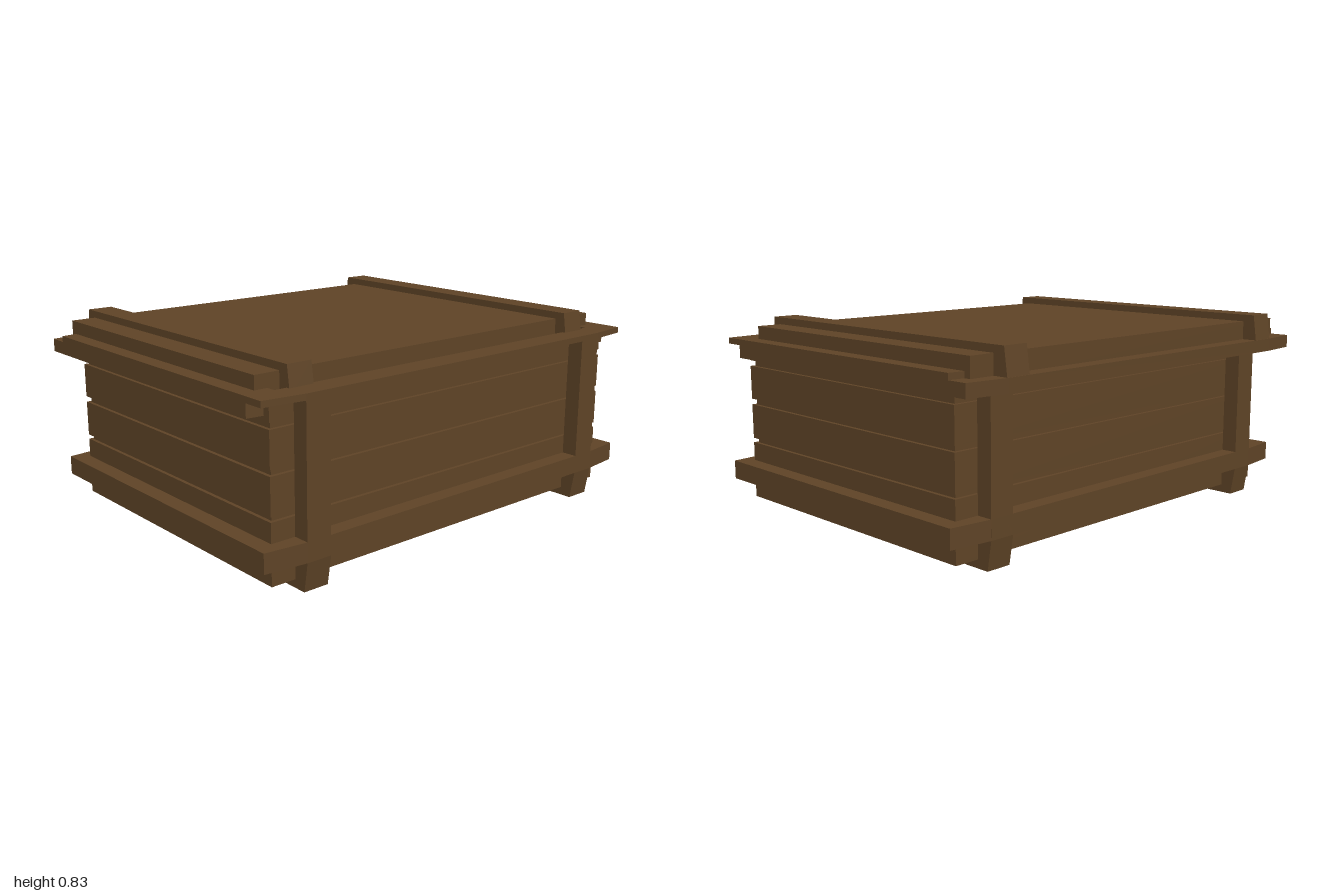
import * as THREE from 'three';

const wood = new THREE.MeshStandardMaterial({ color: 0x5e4326, flatShading: true });
const BODY_X = 0.04;   // centre of the crate body
const LID_X = -0.05;   // centre of the lid, slid to one side

const toShape = pts => new THREE.Shape(pts.map(p => new THREE.Vector2(...p)));

export function createModel() {
  const model = new THREE.Group();

  function add(parent, name, geometry, x = 0, y = 0, z = 0) {
    const mesh = new THREE.Mesh(geometry, wood);
    mesh.name = name;
    mesh.position.set(x, y, z);
    parent.add(mesh);
    return mesh;
  }

  function slab(parent, name, x, halfX, halfZ, y0, y1) {
    return add(parent, name, new THREE.BoxGeometry(halfX * 2, y1 - y0, halfZ * 2), x, (y0 + y1) / 2, 0);
  }

  // Horizontal band with tapered corners, optionally with a rectangular opening
  function band(parent, name, x, y0, y1, hole) {
    const shape = toShape([
      [-0.72, -1], [0.72, -1], [0.74, -0.82], [0.74, 0.82],
      [0.72, 1], [-0.72, 1], [-0.74, 0.82], [-0.74, -0.82],
    ]);
    if (hole) {
      const [hx, hz] = hole;
      shape.holes.push(new THREE.Path([[-hx, -hz], [-hx, hz], [hx, hz], [hx, -hz]].map(p => new THREE.Vector2(...p))));
    }
    const geometry = new THREE.ExtrudeGeometry(shape, { depth: y1 - y0, bevelEnabled: false });
    geometry.rotateX(-Math.PI / 2);
    return add(parent, name, geometry, x, y0, 0);
  }

  // Batten extruded along z, centred on the given z
  function batten(parent, name, points, x, z) {
    const geometry = new THREE.ExtrudeGeometry(toShape(points), { depth: 0.11, bevelEnabled: false });
    return add(parent, name, geometry, x, 0, z - 0.055);
  }

  // Crate body: a recessed core showing as grooves between the boards
  const body = new THREE.Group();
  body.name = 'body';
  model.add(body);
  slab(body, 'core', BODY_X, 0.655, 0.915, 0.05, 0.7);
  for (const [y0, y1] of [[0.035, 0.28], [0.3, 0.45], [0.475, 0.62], [0.645, 0.71]]) {
    slab(body, 'boardCourse', BODY_X, 0.67, 0.93, y0, y1);
  }
  band(body, 'lowerBand', BODY_X, 0.12, 0.2);
  band(body, 'upperRim', BODY_X, 0.72, 0.745, [0.63, 0.875]);

  // Lid: skirt below the rim and raised panel above it
  const lid = new THREE.Group();
  lid.name = 'lid';
  model.add(lid);
  band(lid, 'lidSkirt', LID_X + 0.003, 0.665, 0.72);
  slab(lid, 'lidPanel', -0.043, 0.673, 0.932, 0.7, 0.8);

  // U-shaped straps around the body and tapered battens across the lid
  for (const z of [-0.767, 0.767]) {
    batten(body, 'strap', [
      [-0.72, 0], [0.72, 0], [0.74, 0.12], [0.74, 0.72], [0.67, 0.72], [0.67, 0.035],
      [-0.67, 0.035], [-0.67, 0.72], [-0.74, 0.72], [-0.74, 0.12],
    ], BODY_X, z);
    batten(lid, 'lidBatten', [
      [-0.738, 0.71], [0.738, 0.71], [0.721, 0.83], [-0.721, 0.83],
    ], LID_X + 0.003, z);
  }
  return model;
}
